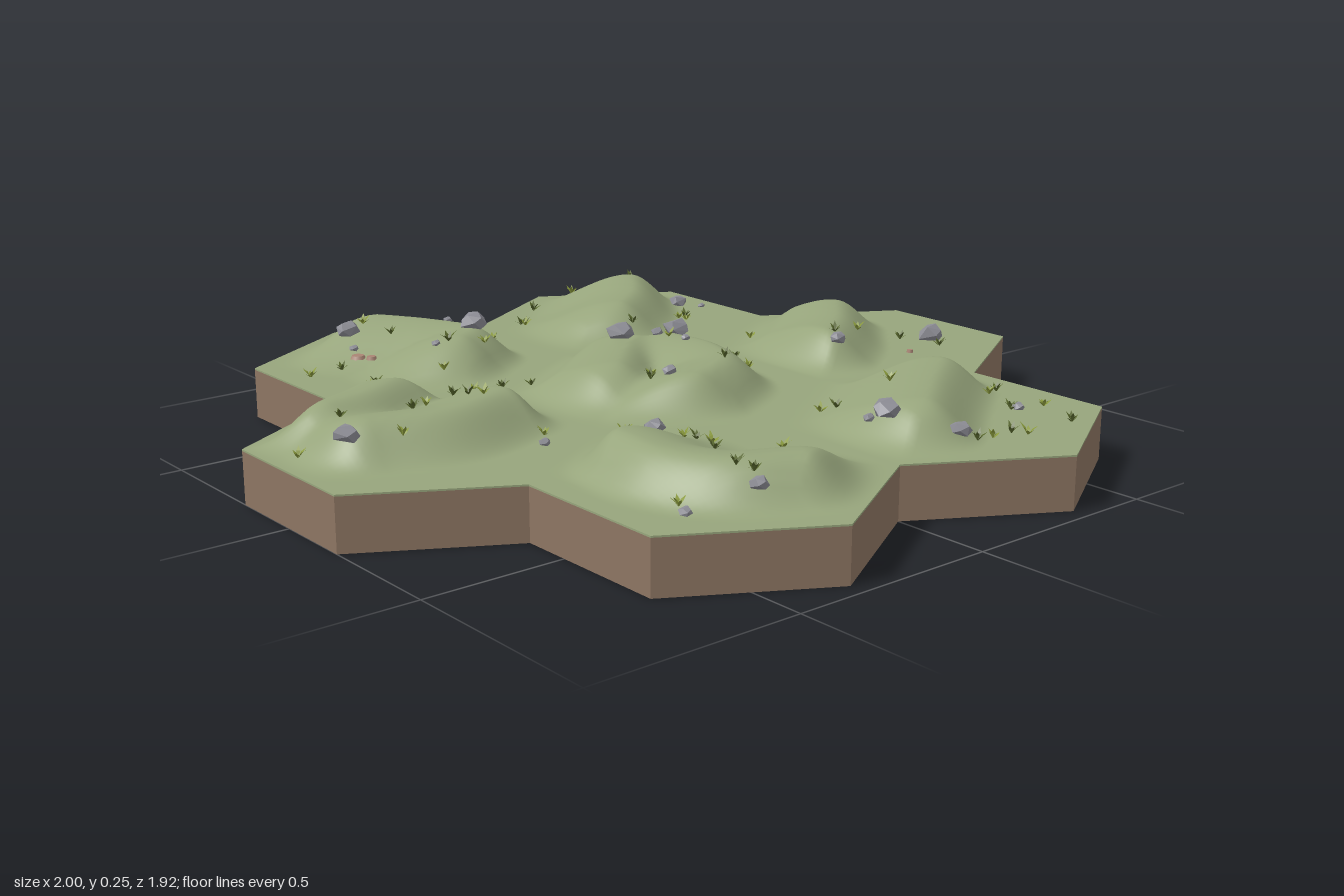
import * as THREE from 'three';
import { mergeGeometries } from 'three/addons/utils/BufferGeometryUtils.js';
import { ConvexGeometry } from 'three/addons/geometries/ConvexGeometry.js';

const R = 2 / 3 / Math.sqrt(3);   // hexagon corner radius
const BASE = 0.125, HILL = 0.086;

// Each tile: centre, and dune crests drawn so the steep side lies to the right of travel
const TILES = [
  { c: [0, 0], crests: [[[-0.14, 0], [-0.06, -0.08], [0.02, -0.17]], [[-0.06, 0.19], [0.09, 0.11], [0.14, -0.01], [0.13, -0.12]]] },
  { c: [2 / 3, 0], crests: [[[0.46, 0.08], [0.57, 0], [0.69, -0.12]]] },
  { c: [-2 / 3, 0], crests: [[[-0.82, -0.14], [-0.72, -0.16], [-0.6, -0.22]], [[-0.82, 0.03], [-0.66, 0.07], [-0.48, 0.02]]] },
  { c: [1 / 3, 1.5 * R], crests: [[[0.19, 0.66], [0.32, 0.56], [0.46, 0.46]]] },
  { c: [-1 / 3, 1.5 * R], crests: [[[-0.46, 0.43], [-0.47, 0.58], [-0.41, 0.7], [-0.28, 0.77]]] },
  { c: [1 / 3, -1.5 * R], crests: [[[0.25, -0.48], [0.36, -0.57], [0.47, -0.71]]] },
  { c: [-1 / 3, -1.5 * R], crests: [[[-0.28, -0.44], [-0.21, -0.5], [-0.25, -0.63], [-0.32, -0.75]]] },
];
for (const tile of TILES) {
  tile.lines = tile.crests.map(pts => {
    const curve = new THREE.CatmullRomCurve3(pts.map(([x, z]) => new THREE.Vector3(x, 0, z)));
    return Array.from({ length: 33 }, (_, i) => ({ p: curve.getPoint(i / 32), t: curve.getTangent(i / 32) }));
  });
}

const smooth = (a, b, v) => THREE.MathUtils.smoothstep(v, a, b);

// Ground height inside a tile: asymmetric dunes fading to the base level at the rim
function tileHeight(tile, x, z) {
  const dx = Math.abs(x - tile.c[0]), dz = Math.abs(z - tile.c[1]);
  const rim = 1 / 3 - Math.max(dx, dx / 2 + dz * Math.sqrt(3) / 2);
  let sum = 0;
  for (const line of tile.lines) {
    let d = Infinity, side = 0;
    for (const { p, t } of line) {
      const ex = x - p.x, ez = z - p.z, e = Math.hypot(ex, ez);
      if (e < d) { d = e; side = e > 1e-6 ? (-t.z * ex + t.x * ez) / e : 0; }
    }
    const width = THREE.MathUtils.lerp(0.3, 0.14, 0.5 + 0.5 * side);
    sum += d < width ? (0.5 + 0.5 * Math.cos(Math.PI * d / width)) ** 4 : 0;
  }
  return BASE + HILL * Math.min(1, sum ** 0.25) * smooth(0, 0.13, rim);
}

function groundAt(x, z) {
  const near = t => Math.hypot(x - t.c[0], z - t.c[1]);
  return tileHeight(TILES.reduce((a, b) => (near(b) < near(a) ? b : a)), x, z);
}

// Six triangular sectors of rings, lifted by the height rule
function terrainGeometry(tile, n = 26) {
  const pos = [], nor = [], e = 0.004;
  const h = (x, z) => tileHeight(tile, x, z);
  const corner = k => [R * Math.sin(k * Math.PI / 3), R * Math.cos(k * Math.PI / 3)];
  for (let k = 0; k < 6; k++) {
    const A = corner(k), B = corner(k + 1);
    const put = (i, j) => {
      const x = tile.c[0] + (A[0] * (i - j) + B[0] * j) / n;
      const z = tile.c[1] + (A[1] * (i - j) + B[1] * j) / n;
      const v = new THREE.Vector3(h(x - e, z) - h(x + e, z), 2 * e, h(x, z - e) - h(x, z + e)).normalize();
      pos.push(x, h(x, z), z);
      nor.push(v.x, v.y, v.z);
    };
    for (let i = 0; i < n; i++) {
      for (let j = 0; j <= i; j++) {
        put(i, j); put(i + 1, j); put(i + 1, j + 1);
        if (j < i) { put(i, j); put(i + 1, j + 1); put(i, j + 1); }
      }
    }
  }
  const g = new THREE.BufferGeometry();
  g.setAttribute('position', new THREE.Float32BufferAttribute(pos, 3));
  g.setAttribute('normal', new THREE.Float32BufferAttribute(nor, 3));
  return g;
}

function hexPrism(height, open) {
  const g = new THREE.CylinderGeometry(R, R, height, 6, 1, open).toNonIndexed();
  g.computeVertexNormals();
  return g;
}

function seeded(seed) {
  return () => {
    seed = (seed * 16807) % 2147483647;
    return seed / 2147483647;
  };
}

// Chunky faceted boulder
function rockGeometry(r, rand) {
  const pts = [];
  for (let i = 0; i < 14; i++) {
    const y = 1 - 2 * (i + 0.5) / 14, a = i * 2.4 + rand() * 0.7, s = Math.sqrt(1 - y * y);
    const k = r * (0.88 + 0.25 * rand());
    pts.push(new THREE.Vector3(s * Math.cos(a) * k, y * k * 0.72, s * Math.sin(a) * k));
  }
  return new ConvexGeometry(pts);
}

// Tuft of pointed blades leaning outwards
function tuftGeometry(x, z, rand) {
  const pos = [], y = groundAt(x, z) - 0.002, turn = rand() * 6;
  for (let i = 0; i < 6; i++) {
    const a = turn + i * Math.PI / 3 + rand() * 0.5, c = Math.cos(a), s = Math.sin(a);
    const reach = 0.011 + rand() * 0.011, up = 0.013 + rand() * 0.014, w = 0.0045;
    const mx = x + c * reach * 0.45, mz = z + s * reach * 0.45;
    const L = [mx - s * w, y + up * 0.6, mz + c * w], Q = [mx + s * w, y + up * 0.6, mz - c * w];
    pos.push(x, y, z, ...L, ...Q, ...L, x + c * reach, y + up, z + s * reach, ...Q);
  }
  const g = new THREE.BufferGeometry();
  g.setAttribute('position', new THREE.Float32BufferAttribute(pos, 3));
  g.computeVertexNormals();
  return g;
}

const ROCKS = [ // x, z, radius
  [-0.43, -0.72, 0.032], [-0.455, -0.65, 0.012], [-0.205, -0.495, 0.034], [-0.35, -0.44, 0.012], [-0.21, -0.6, 0.012],
  [0.36, -0.38, 0.037], [0.575, -0.63, 0.025], [0.61, -0.57, 0.01], [0.455, -0.81, 0.01], [0.01, -0.175, 0.035],
  [0.11, -0.155, 0.016], [0.12, -0.06, 0.012], [-0.09, 0.13, 0.02], [-0.885, 0.05, 0.03], [-0.485, 0.19, 0.014],
  [0.83, 0.09, 0.036], [0.45, 0.13, 0.022], [0.745, -0.22, 0.01], [-0.33, 0.37, 0.024], [-0.545, 0.725, 0.015],
  [-0.41, 0.785, 0.022], [-0.135, 0.625, 0.007], [0.1, 0.63, 0.035], [0.085, 0.595, 0.014], [0.2, 0.755, 0.025],
  [0.535, 0.4, 0.015], [0.505, 0.66, 0.015],
];
const TUFTS = [ // x, z, by tile row
  [
    [-0.6, -0.61], [-0.52, -0.6], [-0.38, -0.73], [-0.36, -0.63], [-0.54, -0.43], [-0.52, -0.44], [-0.38, -0.36],
    [-0.32, -0.43], [-0.13, -0.52], [-0.12, -0.54], [-0.22, -0.42], [0.1, -0.72], [0.1, -0.7], [0.22, -0.83],
    [0.36, -0.84], [0.5, -0.75], [0.47, -0.5], [0.5, -0.51], [0.48, -0.48], [0.23, -0.4],
  ], [
    [-0.95, -0.04], [-0.83, -0.07], [-0.78, 0.1], [-0.63, -0.1], [-0.61, -0.08], [-0.55, 0], [-0.53, 0.03],
    [-0.52, -0.11], [-0.45, -0.13], [-0.44, -0.03], [-0.45, 0.14], [-0.24, -0.2], [-0.1, 0.08], [-0.12, 0.1],
    [0.11, -0.11], [0.21, 0.02], [0.22, 0.06], [0.08, 0.13], [0.46, -0.2], [0.47, 0.1], [0.6, 0.05],
    [0.77, 0.04], [0.81, -0.19], [0.8, 0.15],
  ], [
    [-0.38, 0.33], [-0.32, 0.33], [-0.23, 0.35], [-0.22, 0.38], [-0.22, 0.43], [-0.37, 0.61], [-0.54, 0.7],
    [-0.42, 0.73], [-0.22, 0.65], [-0.4, 0.76], [0.13, 0.4], [0.15, 0.43], [0.28, 0.47], [0.24, 0.77],
    [0.29, 0.77], [0.35, 0.77], [0.37, 0.8], [0.49, 0.65], [0.53, 0.55], [0.58, 0.53], [0.57, 0.68], [0.52, 0.8],
  ],
].flat();

export function createModel() {
  const model = new THREE.Group();
  const mat = (name, color, side = THREE.FrontSide) => {
    const m = new THREE.MeshStandardMaterial({ color, side });
    m.name = name;
    return m;
  };
  const grassland = mat('sage ground', 0x97a57c), earth = mat('brown earth', 0x8d7562);
  const stone = mat('grey stone', 0x8c8c94), clay = mat('pink clay', 0xa98574);
  const blades = [mat('olive grass', 0x8a9a3c, THREE.DoubleSide), mat('dark grass', 0x56652c, THREE.DoubleSide)];
  const add = (name, geometry, material, x = 0, y = 0, z = 0) => {
    const mesh = new THREE.Mesh(geometry, material);
    mesh.name = name;
    mesh.position.set(x, y, z);
    model.add(mesh);
    return mesh;
  };

  // Tiles: earth block, thin turf edge and dune surface
  for (const tile of TILES) {
    const [x, z] = tile.c;
    add('earthBlock', hexPrism(0.121, false), earth, x, 0.0605, z);
    add('turfEdge', hexPrism(0.004, true), grassland, x, 0.123, z);
    add('duneSurface', terrainGeometry(tile), grassland);
  }

  // Boulders and pebbles
  const rand = seeded(71);
  for (const [x, z, r] of ROCKS) {
    add('rock', rockGeometry(r, rand), stone, x, groundAt(x, z) + r * 0.4, z);
  }

  // Grass tufts in two shades
  blades.forEach((m, k) => {
    const own = TUFTS.filter((_, i) => i % 2 === k);
    add('grassTufts', mergeGeometries(own.map(([x, z]) => tuftGeometry(x, z, rand))), m);
  });

  // Small clay patches resting on the ground
  for (const [x, z, r] of [[-0.465, -0.615, 0.02], [-0.445, -0.585, 0.014], [0.69, 0.15, 0.009]]) {
    add('clayPatch', new THREE.CylinderGeometry(r * 0.8, r, 0.008, 7), clay, x, groundAt(x, z) + 0.003, z);
  }
  return model;
}
